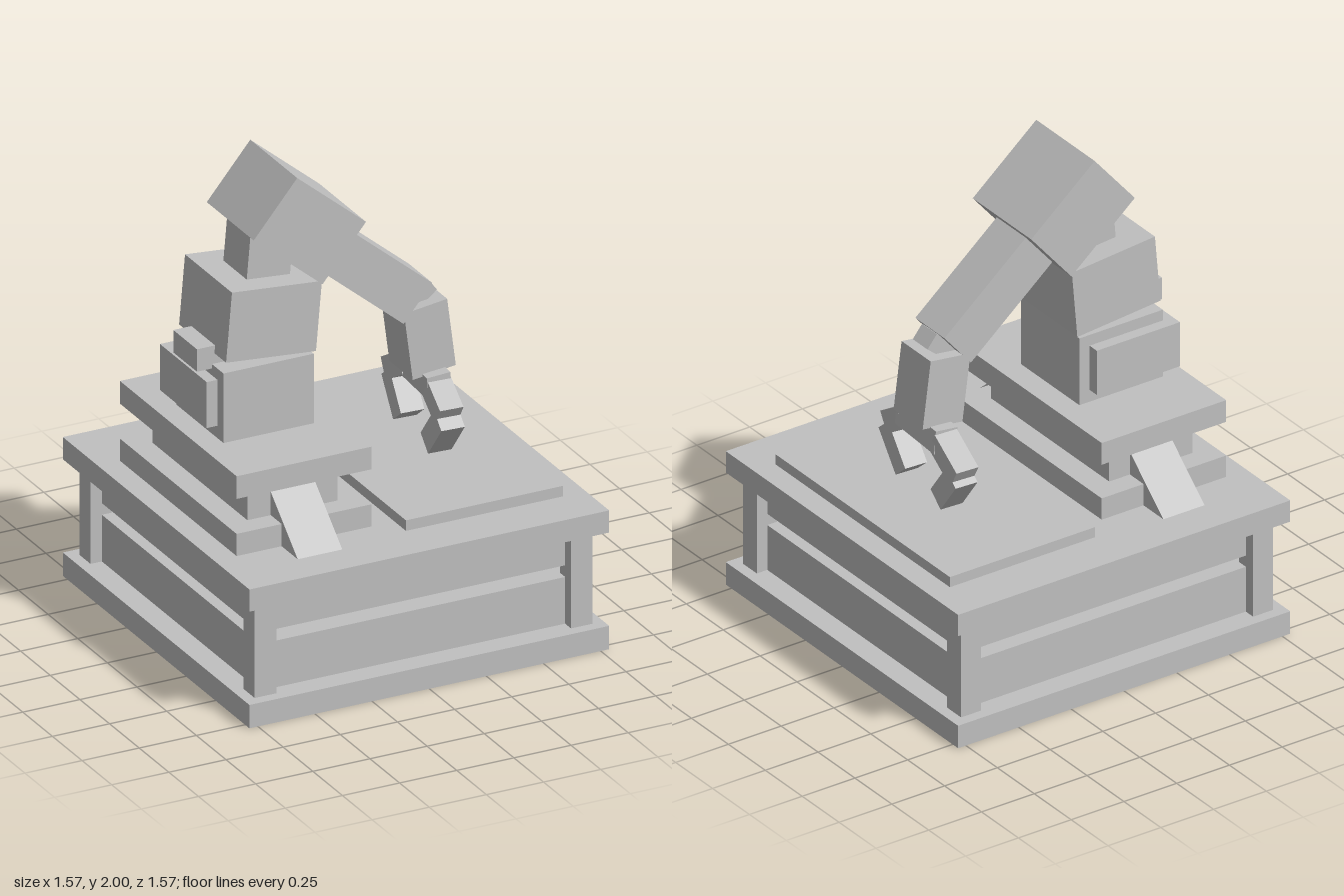
import * as THREE from 'three';

export function createModel() {
  const root = new THREE.Group();
  root.name = 'roboticArmOnTable';
  const grey = new THREE.MeshStandardMaterial({ color: 0xc0c0c0 });
  grey.name = 'plain grey';

  // Box from its size and centre, with an optional tilt in degrees about z
  function box(name, [w, h, d], [x, y, z], tilt = 0, parent = root) {
    const mesh = new THREE.Mesh(new THREE.BoxGeometry(w, h, d), grey);
    mesh.name = name;
    mesh.position.set(x, y, z);
    mesh.rotation.z = THREE.MathUtils.degToRad(tilt);
    parent.add(mesh);
    return mesh;
  }

  // Axis-aligned box from its limits
  function span(name, [x0, x1], [y0, y1], [z0, z1]) {
    return box(name, [x1 - x0, y1 - y0, z1 - z0], [(x0 + x1) / 2, (y0 + y1) / 2, (z0 + z1) / 2]);
  }

  // Table: two slabs, a cabinet with a recessed groove, and corner posts
  const square = (name, half, y0, y1) => span(name, [-half, half], [y0, y1], [-half, half]);
  square('tableFoot', 0.787, 0, 0.1);
  square('lowerCabinet', 0.69, 0.1, 0.3);
  square('cabinetGroove', 0.59, 0.3, 0.35);
  square('upperCabinet', 0.69, 0.35, 0.5);
  square('tableTop', 0.787, 0.5, 0.595);
  for (const sx of [-1, 1]) {
    for (const sz of [-1, 1]) box('cornerPost', [0.095, 0.4, 0.095], [sx * 0.692, 0.3, sz * 0.692]);
  }
  span('workPlate', [0, 0.688], [0.595, 0.64], [-0.59, 0.59]);

  // Stepped pedestal
  span('pedestalFoot', [-0.69, -0.1], [0.595, 0.69], [-0.492, 0.492]);
  span('pedestalCore', [-0.595, -0.2], [0.69, 0.84], [-0.4, 0.4]);
  span('pedestalTop', [-0.69, -0.1], [0.84, 0.937], [-0.492, 0.492]);

  // Sloping braces at the front and back of the pedestal
  const wedge = new THREE.Shape([
    new THREE.Vector2(0.38, 0.595),
    new THREE.Vector2(0.627, 0.595),
    new THREE.Vector2(0.4, 0.79),
    new THREE.Vector2(0.38, 0.79),
  ]);
  const wedgeGeometry = new THREE.ExtrudeGeometry(wedge, { depth: 0.195, bevelEnabled: false });
  for (const side of [1, -1]) {
    const brace = new THREE.Mesh(wedgeGeometry, grey);
    brace.name = side > 0 ? 'frontBrace' : 'backBrace';
    brace.rotation.y = -side * Math.PI / 2;
    brace.position.x = side > 0 ? -0.298 : -0.493;
    root.add(brace);
  }

  // Tower with offset casing and rear block
  span('tower', [-0.595, -0.2], [0.937, 1.235], [-0.198, 0.198]);
  span('towerCasing', [-0.642, -0.248], [0.99, 1.187], [-0.247, 0.147]);
  span('rearBlock', [-0.66, -0.265], [1.216, 1.312], [-0.1, 0.1]);

  // Arm
  box('shoulder', [0.395, 0.296, 0.396], [-0.374, 1.409, 0], -5);
  box('neck', [0.19, 0.4, 0.197], [-0.343, 1.6, 0], -5);
  box('elbow', [0.393, 0.296, 0.396], [-0.217, 1.764, 0], -40);
  box('upperArm', [0.59, 0.195, 0.197], [0.0815, 1.4895, 0], -40);
  box('wristPin', [0.14, 0.07, 0.1], [0.34, 1.3, 0], 39);
  box('forearm', [0.19, 0.294, 0.197], [0.36, 1.134, 0], 7.4);

  // Hand: palm and two jointed fingers, slightly turned
  const hand = new THREE.Group();
  hand.name = 'hand';
  hand.position.x = 0.387;
  hand.rotation.y = -0.06;
  root.add(hand);
  box('palm', [0.1, 0.1, 0.29], [0, 0.947, 0], 5, hand);

  // Finger joint between two [z, y] points
  function joint(name, [z0, y0], [z1, y1]) {
    const length = Math.hypot(z1 - z0, y1 - y0);
    const mesh = box(name, [0.1, 0.093, length], [0, (y0 + y1) / 2, (z0 + z1) / 2], 0, hand);
    mesh.rotation.x = Math.atan2(y0 - y1, z1 - z0);
  }
  joint('frontFingerBase', [0.117, 0.937], [0.236, 0.861]);
  joint('frontFingerTip', [0.238, 0.85], [0.111, 0.7]);
  joint('backFingerBase', [-0.12, 0.946], [-0.283, 0.852]);
  joint('backFingerTip', [-0.262, 0.85], [-0.15, 0.703]);

  return root;
}
